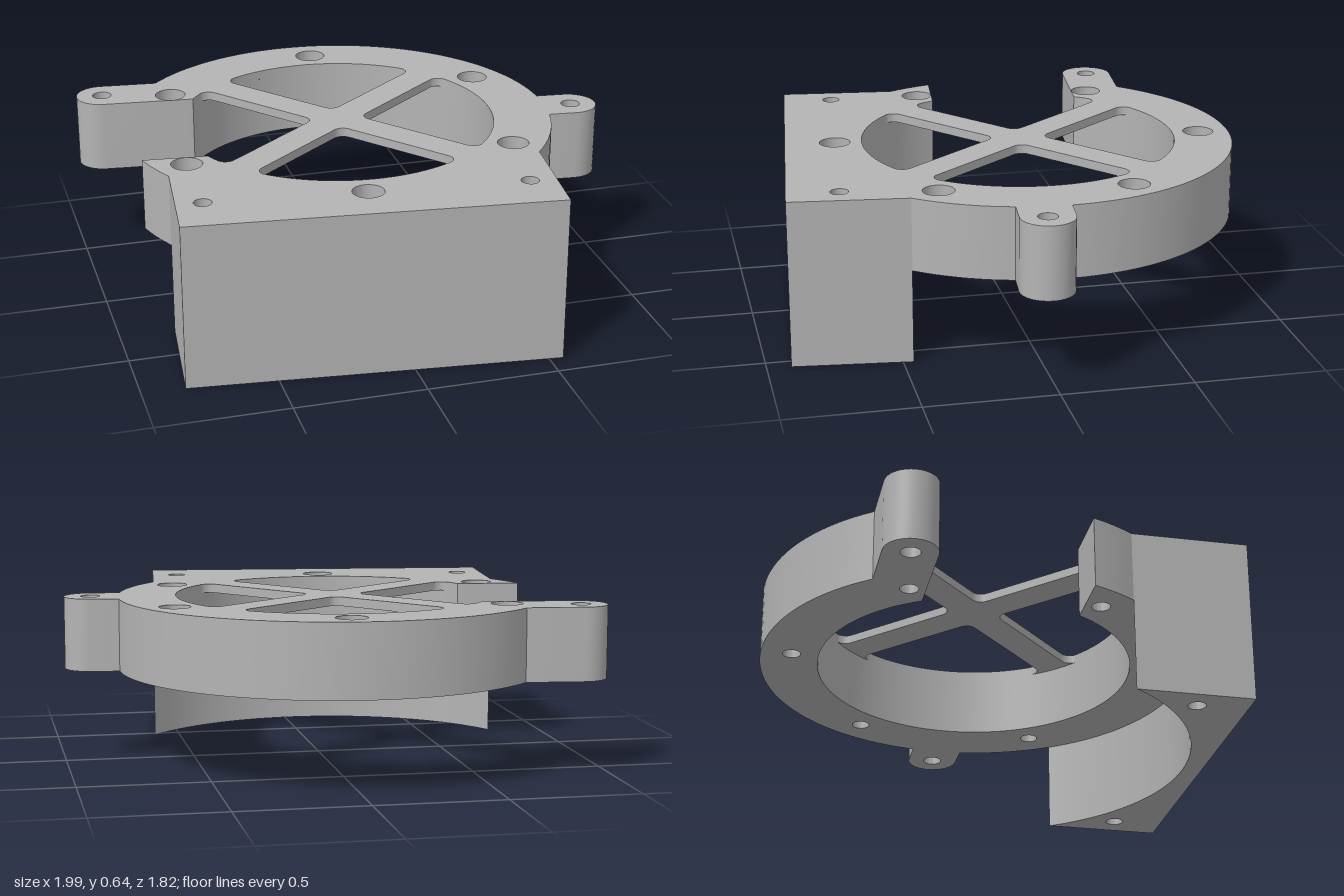
import * as THREE from 'three';
import { mergeGeometries, toCreasedNormals } from 'three/addons/utils/BufferGeometryUtils.js';

// Main dimensions
const TOP = 0.64, RING_Y = 0.36, SPOKE_Y = 0.605, BORE_Y = 0.5;
const R = 0.84, RI = 0.615, GAP = 0.298;
const BLOCK_X = 0.7, BLOCK_Z = 0.915;
const SPOKE_HALF = 0.065, FILLET = 0.04, LUG_R = 0.102;
const deg = Math.PI / 180;
const P = (x, z) => new THREE.Vector2(x, z);
const asind = (s) => Math.asin(s) / deg;

// Points on an arc, angles in degrees from +x towards +z
function arc(cx, cz, r, a0, a1) {
  const n = Math.max(2, Math.ceil(Math.abs(a1 - a0) / (r > 0.3 ? 3 : 10)));
  return Array.from({ length: n + 1 }, (_, i) => {
    const a = (a0 + ((a1 - a0) * i) / n) * deg;
    return P(cx + r * Math.cos(a), cz + r * Math.sin(a));
  });
}
const circle = (c, r) => arc(c.x, c.y, r, 0, 360).slice(0, -1);

// Upright wall along a path, facing the right-hand side of travel
function wall(path, y0, y1, closed = false) {
  const pos = [];
  const n = path.length;
  for (let i = 0; i < (closed ? n : n - 1); i++) {
    const p = path[i], q = path[(i + 1) % n];
    if (p.distanceTo(q) < 1e-6) continue;
    pos.push(p.x, y0, p.y, q.x, y0, q.y, q.x, y1, q.y);
    pos.push(p.x, y0, p.y, q.x, y1, q.y, p.x, y1, p.y);
  }
  const g = new THREE.BufferGeometry();
  g.setAttribute('position', new THREE.Float32BufferAttribute(pos, 3));
  return toCreasedNormals(g, 0.5);
}

// Flat face at height y, facing up or down
function cap(outline, holes, y, up) {
  const pts = outline.filter((p, i) => i === 0 || p.distanceTo(outline[i - 1]) > 1e-6);
  const shape = new THREE.Shape(pts);
  shape.holes = holes.map((h) => new THREE.Path(h));
  const g = new THREE.ShapeGeometry(shape);
  g.rotateX(Math.PI / 2).translate(0, y, 0);
  if (up) {
    g.index.array.reverse();
    g.computeVertexNormals();
  }
  g.deleteAttribute('uv');
  return g.toNonIndexed();
}

export function createModel() {
  const metal = new THREE.MeshStandardMaterial({ color: 0xb4b4b4 });
  metal.name = 'grey metal';
  const group = new THREE.Group();
  group.name = 'spokedBracket';
  const body = new THREE.Group();
  body.name = 'bracketBody';
  body.rotation.y = -6.1 * deg;
  body.position.set(-0.045, 0, -0.075);
  group.add(body);
  const add = (name, ...geos) => {
    const m = new THREE.Mesh(mergeGeometries(geos), metal);
    m.name = name;
    body.add(m);
  };

  // Rounded opening between two spokes, centred on direction k * 90 degrees
  const h = SPOKE_HALF + FILLET;
  const edge = 45 - asind(h / (RI - FILLET));
  const polar = (r, a) => P(r * Math.cos(a * deg), r * Math.sin(a * deg));
  function spokeSide(k) {
    const t = k * 90;
    const a = polar(RI - FILLET, t + edge), b = polar(h * Math.SQRT2, t), c = polar(RI - FILLET, t - edge);
    return [
      ...arc(a.x, a.y, FILLET, t + edge, t + 135),
      ...arc(b.x, b.y, FILLET, t + 135, t + 225),
      ...arc(c.x, c.y, FILLET, t + 225, t + 360 - edge),
    ];
  }
  const ringArc = (a0, a1) => arc(0, 0, RI, a0, a1);
  const openings = [0, 1, 3].map((k) => [...ringArc(k * 90 - edge, k * 90 + edge).slice(0, -1), ...spokeSide(k).slice(0, -1)]);
  const gapIn = asind(GAP / RI);
  const gapOpening = [...ringArc(180 + gapIn, 180 + edge), ...spokeSide(2), ...ringArc(180 - edge, 180 - gapIn)];

  // Outer edge from the block past both lugs to the gap, then beyond the gap
  const corner = Math.acos(BLOCK_X / R) / deg;
  const sideLug = P(0.945, 0), gapLug = P(-0.897, -GAP - LUG_R);
  const lugA = asind(LUG_R / R), lugB = asind((GAP + 2 * LUG_R) / R);
  const outerA = [
    ...arc(0, 0, R, corner, lugA),
    ...arc(sideLug.x, sideLug.y, LUG_R, 90, -90),
    ...arc(0, 0, R, -lugA, -180 + lugB),
    ...arc(gapLug.x, gapLug.y, LUG_R, -90, -270),
    polar(RI, 180 + gapIn),
  ];
  const outerB = [polar(RI, 180 - gapIn), ...arc(0, 0, R, 180 - asind(GAP / R), 180 - corner)];
  const blockEdge = [polar(R, 180 - corner), P(-BLOCK_X, BLOCK_Z), P(BLOCK_X, BLOCK_Z), polar(R, corner)];
  const blockArc = arc(0, 0, R, corner, 180 - corner);
  const innerRing = ringArc(-180 + gapIn, 180 - gapIn);

  // Hole centres
  const bolts = [30, 90, 150, 210, 270, 330].map((a) => polar(0.72, a));
  const pins = [P(-0.6, 0.72), P(0.6, 0.72)];
  const lugs = [sideLug, gapLug];
  const BOLT = 0.035, BORE = 0.06, PIN = 0.034, LUG_HOLE = 0.037;
  const holes = (list, r) => list.map((c) => circle(c, r));
  const lugHoles = holes(lugs, LUG_HOLE);

  // Top face, including the spokes
  add('topFace', cap(
    [...outerA, ...gapOpening, ...outerB, ...blockEdge.slice(1, -1)],
    [...openings, ...holes(bolts, BORE), ...holes(pins, PIN), ...lugHoles], TOP, true));

  // Ring with its two lugs
  add('ring',
    wall(outerA, RING_Y, TOP),
    wall(outerB, RING_Y, TOP),
    wall(innerRing, RING_Y, SPOKE_Y),
    cap([...outerA, ...innerRing, ...outerB, ...blockArc.slice(1, -1).reverse()],
      [...holes(bolts, BOLT), ...lugHoles], RING_Y, false));

  // Thin crossing spokes
  const cross = [4, 3, 2, 1].flatMap((k) => [...spokeSide(k), ...ringArc(k * 90 - edge, k * 90 - 90 + edge).slice(1, -1)]);
  add('spokes',
    ...openings.map((o) => wall(o, SPOKE_Y, TOP, true)),
    wall(gapOpening, SPOKE_Y, TOP),
    cap(cross, [], SPOKE_Y, false));

  // Mounting block, hollowed to the ring's outer radius below it
  add('mountingBlock',
    wall(blockEdge, 0, TOP),
    wall(blockArc, 0, RING_Y),
    cap([...blockArc, P(-BLOCK_X, BLOCK_Z), P(BLOCK_X, BLOCK_Z)], holes(pins, PIN), 0, false));

  // Counterbored bolt holes
  add('boltHoles', ...bolts.flatMap((c) => [
    wall(circle(c, BORE), BORE_Y, TOP, true),
    wall(circle(c, BOLT), RING_Y, BORE_Y, true),
    cap(circle(c, BORE), [circle(c, BOLT)], BORE_Y, true),
  ]));

  // Through holes in the lugs
  add('lugHoles', ...lugHoles.map((c) => wall(c, RING_Y, TOP, true)));

  // Blind pin holes in the top and underside of the block
  add('pinHoles', ...holes(pins, PIN).flatMap((c) => [
    wall(c, TOP - 0.2, TOP, true), cap(c, [], TOP - 0.2, true),
    wall(c, 0, 0.2, true), cap(c, [], 0.2, false),
  ]));

  return group;
}
